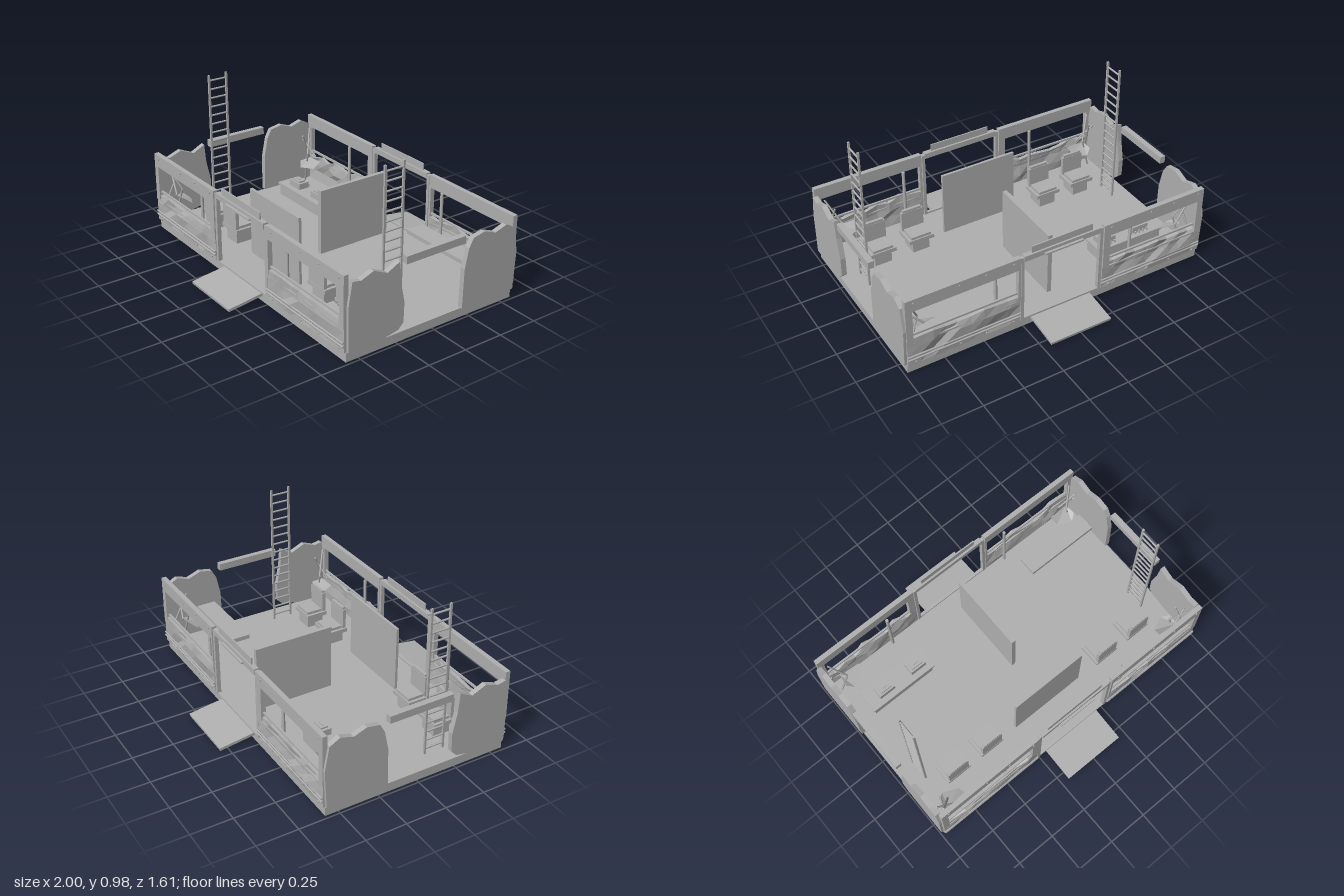
import * as THREE from 'three';

export function createModel() {
  const model = new THREE.Group();
  const grey = new THREE.MeshStandardMaterial({ color: 0xb0b0b0 });
  grey.name = 'hull grey';
  const sheet = new THREE.MeshStandardMaterial({ color: 0xb0b0b0, side: THREE.DoubleSide });
  sheet.name = 'torn sheet grey';

  let seed = 7;
  const rand = () => (seed = (seed * 16807) % 2147483647) / 2147483647;

  function add(parent, name, geo, mat = grey) {
    const m = new THREE.Mesh(geo, mat);
    m.name = name;
    parent.add(m);
    return m;
  }
  // Box given by its limits on each axis
  function box(parent, name, x0, x1, y0, y1, z0, z1) {
    const m = add(parent, name, new THREE.BoxGeometry(x1 - x0, y1 - y0, z1 - z0));
    m.position.set((x0 + x1) / 2, (y0 + y1) / 2, (z0 + z1) / 2);
    return m;
  }
  // Round bar between two points
  function rod(parent, name, a, b, r, sides = 8) {
    const p = new THREE.Vector3(...a), q = new THREE.Vector3(...b), d = q.clone().sub(p);
    const m = add(parent, name, new THREE.CylinderGeometry(r, r, d.length(), sides));
    m.position.copy(p).add(q).multiplyScalar(0.5);
    m.quaternion.setFromUnitVectors(new THREE.Vector3(0, 1, 0), d.normalize());
    return m;
  }
  const group = (name, parent = model) => {
    const g = new THREE.Group();
    g.name = name;
    parent.add(g);
    return g;
  };

  // Floor slab and inner partitions
  box(model, 'floor', -0.98, 0.98, 0, 0.055, -0.58, 0.58);
  box(model, 'longPartition', -0.015, 0.012, 0.055, 0.465, -0.46, 0.04);
  box(model, 'frontScreen', -0.25, 0.25, 0.055, 0.475, 0.345, 0.362);

  // Panel with a window opening and a crumpled lower half
  function windowPanel(parent, x0, x1, h0, h1) {
    const s = new THREE.Shape();
    [[x0, 0.2], [x1, 0.2], [x1, 0.51], [x0, 0.51]].forEach(([x, y], i) => i ? s.lineTo(x, y) : s.moveTo(x, y));
    const hole = new THREE.Path();
    [[h0, 0.21], [h0, 0.43], [h1, 0.43], [h1, 0.21]].forEach(([x, y], i) => i ? hole.lineTo(x, y) : hole.moveTo(x, y));
    s.holes.push(hole);
    const frame = add(parent, 'windowFrame', new THREE.ExtrudeGeometry(s, { depth: 0.03, bevelEnabled: false }));
    frame.position.z = 0.567;

    const w = x1 - x0, cols = 9;
    let g = new THREE.BoxGeometry(w, 0.18, 0.025, cols, 3, 1);
    const dents = Array.from({ length: (cols + 1) * 4 }, () => rand() - 0.5);
    const p = g.attributes.position;
    for (let i = 0; i < p.count; i++) {
      const c = Math.round((p.getX(i) / w + 0.5) * cols), r = Math.round((p.getY(i) / 0.18 + 0.5) * 3);
      const d = dents[r * (cols + 1) + c];
      if (c > 0 && c < cols && r > 0) {
        p.setZ(i, p.getZ(i) + d * 0.022);
        p.setY(i, p.getY(i) + d * (r === 3 ? 0.035 : 0.02));
      }
    }
    g = g.toNonIndexed();
    g.computeVertexNormals();
    add(parent, 'crumpledPanel', g).position.set((x0 + x1) / 2, 0.15, 0.581);
    box(parent, 'windowBar', h0, h1, 0.253, 0.265, 0.573, 0.585);
    for (const y of [0.098, 0.12]) rod(parent, 'outerRail', [x0, y, 0.598], [x1, y, 0.598], 0.006);
    for (const t of [0.07, 0.46, 0.69, 0.94]) {
      const x = x0 + t * w;
      rod(parent, 'bolt', [x, 0.485, 0.59], [x, 0.485, 0.602], 0.007);
      rod(parent, 'bolt', [x, 0.073, 0.59], [x, 0.073, 0.6], 0.006);
    }
  }

  // Long walls, each with two window panels, a doorway and a ramp
  for (const side of [1, -1]) {
    const wall = group(side > 0 ? 'frontWall' : 'backWall');
    const s = side;
    const spans = [[-0.98, -0.275, -0.94, -0.32], [0.275, 0.98, 0.29, 0.94]];
    for (const a of spans) {
      if (s > 0) windowPanel(wall, a[0], a[1], a[2], a[3]);
      else windowPanel(wall, -a[1], -a[0], -a[3], -a[2]);
    }
    for (const x of [-0.26, 0.26]) box(wall, 'doorPost', x - 0.01, x + 0.01, 0.055, 0.5, 0.567, 0.592);
    box(wall, 'doorLintel', -0.25, 0.25, 0.475, 0.51, 0.565, 0.597);
    box(wall, 'doorSill', -0.27, 0.27, 0.055, 0.066, 0.57, 0.59);
    box(wall, 'doorTopPlate', -0.2, 0.2, 0.51, 0.553, 0.578, 0.586);
    box(wall, 'doorHandle', -0.125, 0.125, 0.48, 0.49, 0.597, 0.612);
    for (const x of [-0.49, 0.41]) rod(wall, 'pole', [s * x, 0.055, 0.55], [s * x, 0.44, 0.55], 0.01, 10);
    const ramp = add(wall, 'ramp', new THREE.BoxGeometry(0.4, 0.017, 0.226));
    ramp.position.set(0, 0.028, 0.69);
    ramp.rotation.x = 0.137;
    if (s < 0) wall.rotation.y = Math.PI;
  }

  // Torn end walls and the beams over the gaps between them
  const tornFront = [[0.575, 0.06], [0.578, 0.33], [0.555, 0.47], [0.5, 0.46], [0.42, 0.49], [0.33, 0.45], [0.25, 0.49],
    [0.24, 0.37], [0.212, 0.24], [0.215, 0.12], [0.25, 0.085], [0.37, 0.062]];
  const tornBack = [[-0.2, 0.06], [-0.205, 0.3], [-0.23, 0.42], [-0.26, 0.475], [-0.34, 0.49], [-0.42, 0.46],
    [-0.5, 0.485], [-0.565, 0.45], [-0.592, 0.3], [-0.58, 0.06]];
  for (const side of [1, -1]) {
    const end = group(side > 0 ? 'leftEnd' : 'rightEnd');
    for (const pts of [tornFront, tornBack]) {
      const shape = new THREE.Shape(pts.map(([z, y]) => new THREE.Vector2(z, y)));
      const m = add(end, 'tornEndWall', new THREE.ExtrudeGeometry(shape, { depth: 0.032, bevelEnabled: false }));
      m.rotation.y = -Math.PI / 2;
      m.position.x = side * 0.98 + 0.016;
    }
    box(end, 'endBeam', side * 0.98 - 0.018, side * 0.98 + 0.018, 0.46, 0.505, -0.2, 0.205);

    // Ladder
    const ladder = group('ladder');
    const x = side * 0.863;
    for (const z of [0.131, 0.253]) box(ladder, 'ladderRail', x - 0.006, x + 0.006, 0.055, 0.98, z - 0.006, z + 0.006);
    for (let i = 0; i < 16; i++) {
      const y = 0.09 + i * 0.057;
      rod(ladder, 'rung', [x, y, 0.131], [x, y, 0.253], 0.006);
    }

    // Bent struts and loose shards in the corners
    for (const f of [1, -1]) {
      const corner = group('cornerWreckage');
      const at = (px, py, pz) => [side * px, py, f * pz];
      rod(corner, 'bentStrut', at(0.93, 0.43, 0.545), at(0.86, 0.28, 0.48), 0.006, 6);
      rod(corner, 'bentStrut', at(0.86, 0.28, 0.48), at(0.92, 0.07, 0.5), 0.006, 6);
      rod(corner, 'bentStrut', at(0.95, 0.36, 0.5), at(0.84, 0.26, 0.53), 0.006, 6);
      rod(corner, 'bentStrut', at(0.9, 0.4, 0.47), at(0.93, 0.2, 0.55), 0.006, 6);
      const v = [at(0.89, 0.24, 0.52), at(0.76, 0.25, 0.51), at(0.77, 0.21, 0.46), at(0.86, 0.2, 0.42), at(0.9, 0.23, 0.45)];
      const tri = [0, 1, 2, 0, 2, 3, 0, 3, 4].flatMap(i => v[i]);
      const g = new THREE.BufferGeometry();
      g.setAttribute('position', new THREE.Float32BufferAttribute(tri, 3));
      g.computeVertexNormals();
      add(corner, 'shard', g, sheet);
    }
  }

  // Seats
  for (const x of [-0.705, -0.452, 0.452, 0.705]) {
    const seat = group('seat');
    box(seat, 'seatBase', -0.055, 0.055, 0.055, 0.13, 0.265, 0.375);
    box(seat, 'seatPan', -0.083, 0.083, 0.13, 0.155, 0.25, 0.39);
    box(seat, 'seatCushion', -0.065, 0.065, 0.155, 0.172, 0.258, 0.362);
    box(seat, 'seatBack', -0.072, 0.072, 0.155, 0.285, 0.366, 0.388);
    box(seat, 'seatBackTop', -0.062, 0.062, 0.285, 0.3, 0.368, 0.386);
    seat.position.x = x;
  }

  // Console with two instrument boxes
  const table = group('console');
  box(table, 'consoleBody', -0.85, -0.41, 0.055, 0.125, -0.385, -0.25);
  box(table, 'consoleTop', -0.86, -0.4, 0.125, 0.14, -0.39, -0.24);
  for (const x of [-0.725, -0.487]) {
    box(table, 'instrumentBox', x - 0.055, x + 0.055, 0.14, 0.18, -0.352, -0.278);
    box(table, 'instrumentTop', x - 0.038, x + 0.038, 0.18, 0.19, -0.335, -0.29);
    box(table, 'instrumentSlot', x - 0.02, x + 0.02, 0.19, 0.195, -0.316, -0.308);
    for (const k of [-1.5, -0.5, 0.5, 1.5])
      rod(table, 'knob', [x + k * 0.028, 0.14, -0.362], [x + k * 0.028, 0.158, -0.362], 0.006);
  }

  // Shelf on the opposite side
  box(model, 'shelf', 0.42, 0.9, 0.262, 0.288, -0.4, -0.28);

  return model;
}
